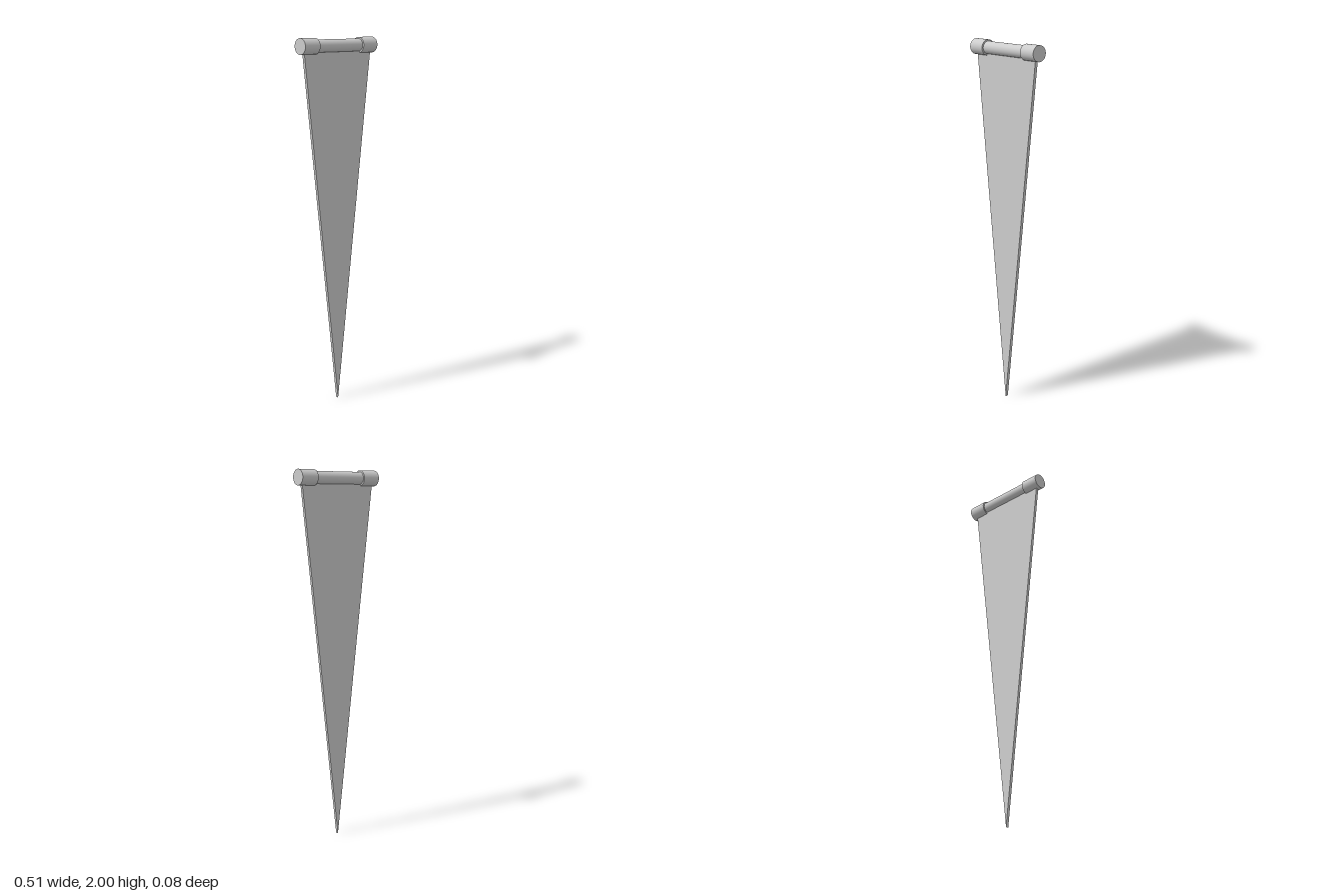
import * as THREE from 'three';

const AXIS_Y = 1.958; // height of the rod's axis

export function createModel() {
  const group = new THREE.Group();
  const material = new THREE.MeshStandardMaterial({ color: 0xcccccc });

  const add = (name, geometry, x, y, z) => {
    const mesh = new THREE.Mesh(geometry, material);
    mesh.name = name;
    mesh.position.set(x, y, z);
    group.add(mesh);
  };

  // horizontal cylinder lying along x
  const bar = (radius, length) =>
    new THREE.CylinderGeometry(radius, radius, length, 48).rotateZ(Math.PI / 2);

  // rod with a thicker cap at each end
  add('rod', bar(0.0335, 0.32), 0, AXIS_Y, 0);
  for (const [name, side] of [['leftCap', 1], ['rightCap', -1]]) {
    add(name, bar(0.042, 0.102), side * 0.206, AXIS_Y, 0);
  }

  // thin triangular pennant, its top edge held inside the rod
  const thickness = 0.016;
  const outline = new THREE.Shape([
    new THREE.Vector2(0, 0),
    new THREE.Vector2(0.24, AXIS_Y),
    new THREE.Vector2(-0.24, AXIS_Y),
  ]);
  const cloth = new THREE.ExtrudeGeometry(outline, { depth: thickness, bevelEnabled: false });
  add('pennant', cloth, 0, 0, -thickness / 2);

  return group;
}
